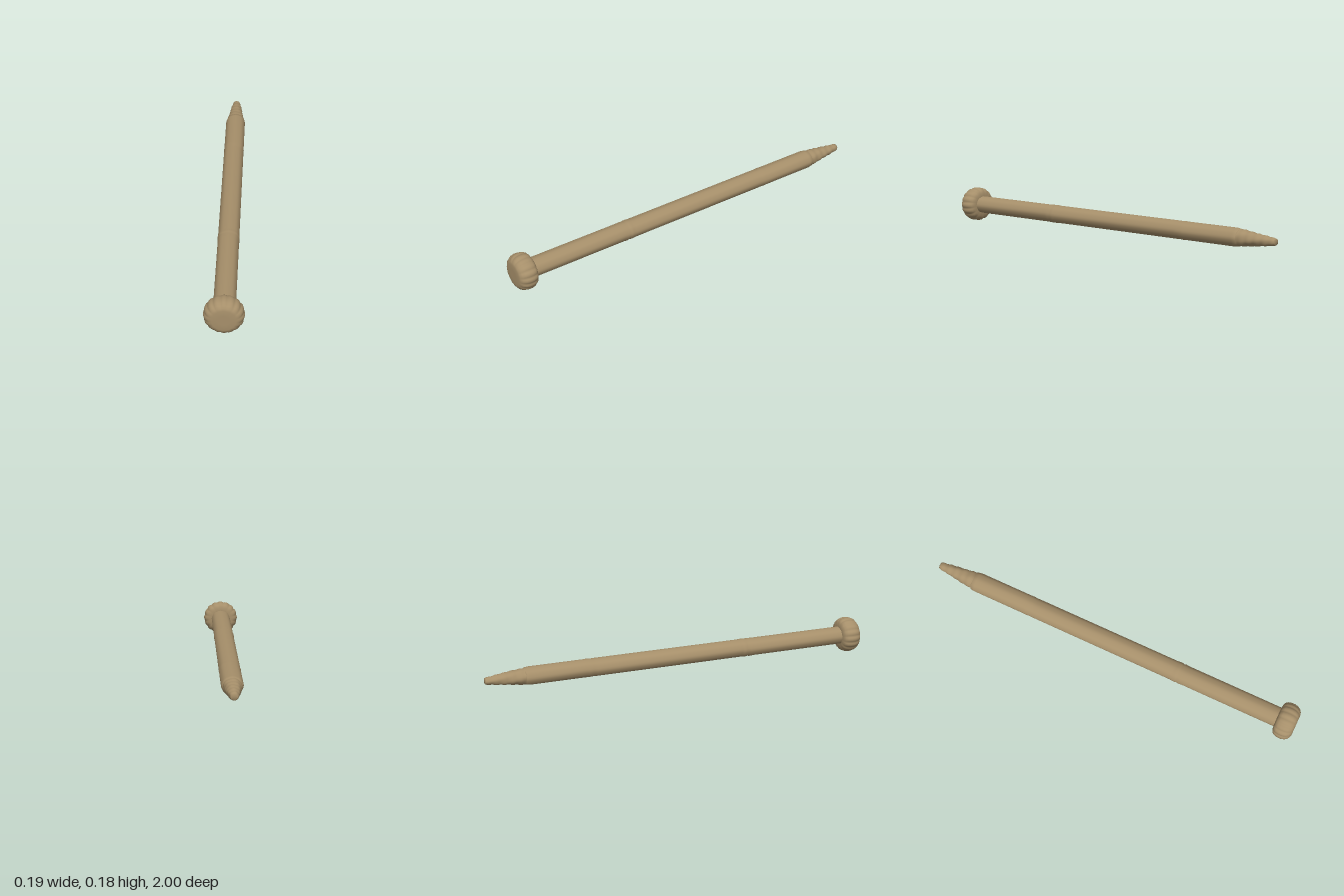
import * as THREE from 'three';
import { mergeVertices } from 'three/addons/utils/BufferGeometryUtils.js';

const AXIS_Y = 0.095;

// Revolve [radius, z] pairs about the z axis, then reshape the radius with a rule.
function turned(name, profile, segments, material, rule) {
  const points = profile.map(([r, z]) => new THREE.Vector2(r, z));
  let geometry = new THREE.LatheGeometry(points, segments).rotateX(Math.PI / 2);
  const pos = geometry.attributes.position;
  for (let i = 0; i < pos.count; i++) {
    const x = pos.getX(i), y = pos.getY(i), z = pos.getZ(i);
    const [sx, sy] = rule(Math.atan2(y, x), z, Math.hypot(x, y));
    pos.setXY(i, x * sx, y * sy);
  }
  geometry.deleteAttribute('uv');
  geometry.deleteAttribute('normal');
  geometry = mergeVertices(geometry, 1e-5);
  geometry.computeVertexNormals();
  const mesh = new THREE.Mesh(geometry, material);
  mesh.name = name;
  mesh.position.y = AXIS_Y;
  return mesh;
}

export function createModel() {
  const group = new THREE.Group();
  group.name = 'spike';
  const wood = new THREE.MeshStandardMaterial({ color: 0xa68f6a });
  wood.name = 'tan wood';

  // Straight shaft, slightly wider than tall, with two faint collars
  const shaft = [
    [0, -0.805], [0.034, -0.805], [0.042, -0.8], [0.045, -0.78],
    [0.045, -0.5], [0.046, -0.48], [0.0445, -0.46], [0.045, -0.44],
    [0.045, 0.33], [0.0465, 0.345], [0.0465, 0.36], [0.0445, 0.37],
    [0.0465, 0.38], [0.045, 0.4], [0.045, 0.92],
  ];
  group.add(turned('shaft', shaft, 32, wood, (a) => {
    const facet = 1 + 0.012 * Math.cos(8 * a);
    return [1.14 * facet, facet];
  }));

  // Tapered point with shallow carved rings
  const tip = [[0, -1], [0.0145, -1], [0.0165, -0.995]];
  const steps = 24;
  for (let i = 1; i <= steps; i++) {
    const t = i / steps;
    const ring = 0.0012 * Math.sin(t * Math.PI * 10);
    tip.push([0.0165 + 0.0255 * Math.pow(t, 0.85) + ring, -0.995 + 0.2 * t]);
  }
  group.add(turned('point', tip, 24, wood, (a, z) => {
    const wobble = 1 + 0.025 * Math.sin(5 * a + z * 40);
    return [1.08 * wobble, wobble];
  }));

  // Scalloped mushroom head, flat on its face
  const head = [
    [0, 0.9], [0.045, 0.9], [0.064, 0.902], [0.078, 0.909], [0.086, 0.921],
    [0.09, 0.938], [0.09, 0.957], [0.086, 0.974], [0.077, 0.988],
    [0.066, 0.996], [0.054, 1], [0.025, 1], [0, 1],
  ];
  group.add(turned('head', head, 96, wood, (a, z, r) => {
    const rim = THREE.MathUtils.smoothstep(r, 0.05, 0.088);
    const lobe = Math.abs(Math.cos(8 * a)) - 0.75;
    const s = 1 + rim * 0.05 * lobe;
    return [1.035 * s, 0.99 * s];
  }));

  return group;
}
